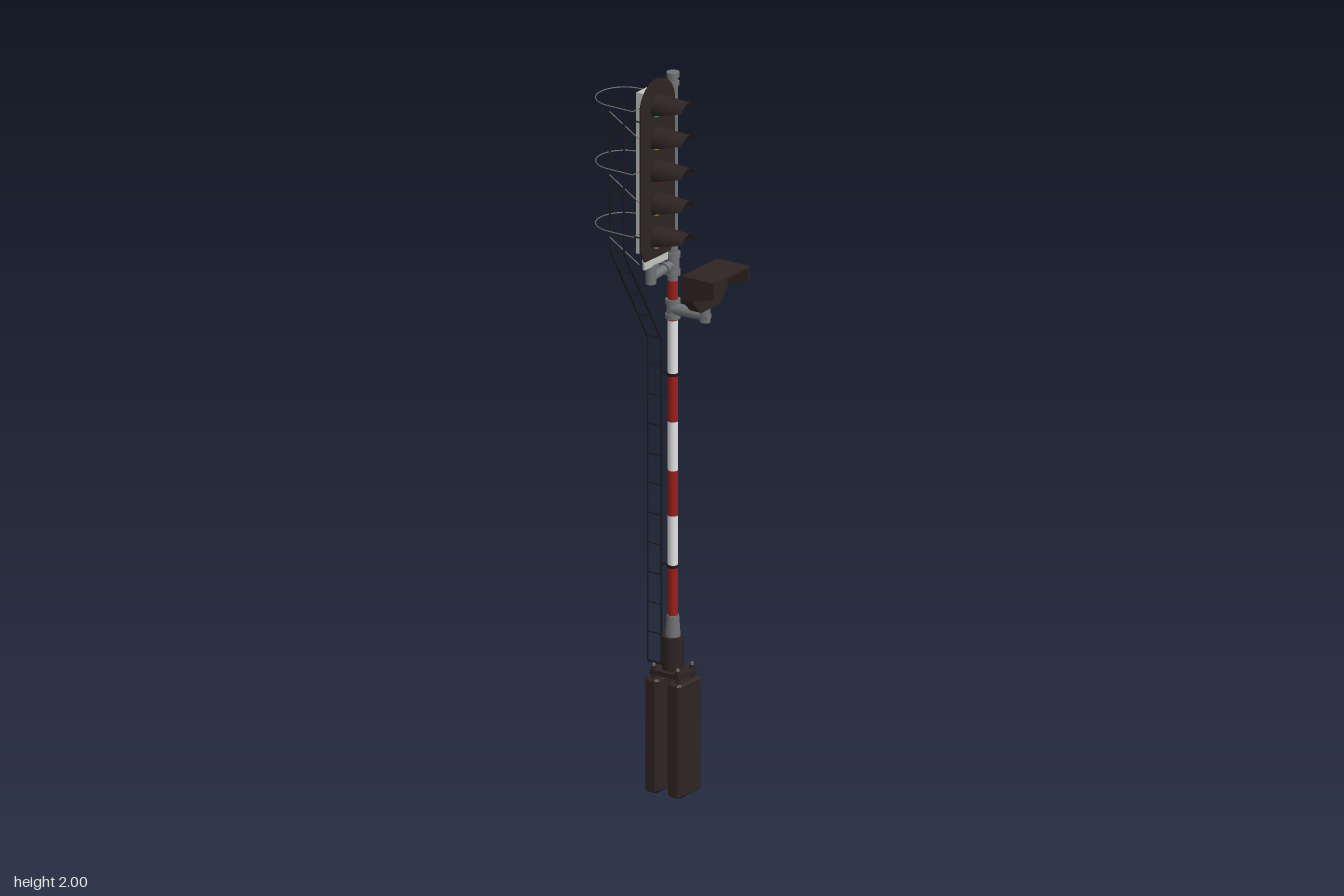
import * as THREE from 'three';
import { ParametricGeometry } from 'three/addons/geometries/ParametricGeometry.js';

const mat = (name, color, side = THREE.FrontSide) => {
  const m = new THREE.MeshStandardMaterial({ color, side });
  m.name = name;
  return m;
};

export function createModel() {
  const root = new THREE.Group();
  root.name = 'railwaySignal';

  const dark = mat('dark brown', 0x2e2423, THREE.DoubleSide);
  const steel = mat('steel grey', 0x707275);
  const pale = mat('pale grey', 0xc4c4c0);
  const red = mat('red', 0x9c1f1a);
  const white = mat('white', 0xe2e2e2);
  const green = mat('green', 0x1fce72);
  const amber = mat('amber', 0xd6a326);
  const black = mat('ladder black', 0x1a1a1a);

  const PX = 0.046, PZ = -0.014; // mast axis
  const HX = -0.053;             // signal head centre
  const V = (x, y, z) => new THREE.Vector3(x, y, z);

  const add = (name, geo, material, x = 0, y = 0, z = 0, parent = root) => {
    const m = new THREE.Mesh(geo, material);
    m.name = name;
    m.position.set(x, y, z);
    parent.add(m);
    return m;
  };
  const box = (name, material, x0, x1, y0, y1, z0, z1) =>
    add(name, new THREE.BoxGeometry(x1 - x0, y1 - y0, z1 - z0), material, (x0 + x1) / 2, (y0 + y1) / 2, (z0 + z1) / 2);
  const post = (name, material, y0, y1, r, x = PX, z = PZ, rTop = r, n = 20) =>
    add(name, new THREE.CylinderGeometry(rTop, r, y1 - y0, n), material, x, (y0 + y1) / 2, z);
  const rod = (name, material, a, b, r, n = 6, rEnd = r) => {
    const d = b.clone().sub(a);
    const m = add(name, new THREE.CylinderGeometry(rEnd, r, d.length(), n), material);
    m.position.copy(a).addScaledVector(d, 0.5);
    m.quaternion.setFromUnitVectors(V(0, 1, 0), d.normalize());
    return m;
  };
  const shapeOf = pts => new THREE.Shape(pts.map(p => new THREE.Vector2(...p)));
  const extrude = (shape, depth) => new THREE.ExtrudeGeometry(shape, { depth, bevelEnabled: false, curveSegments: 20 });

  // Foundation: two chamfered piles, a plate and anchor bolts
  const c = 0.006, w = 0.046, d = 0.017;
  const pileGeo = new THREE.ExtrudeGeometry(
    shapeOf([[-w + c, -d], [w - c, -d], [w, -d + c], [w, d - c], [w - c, d], [-w + c, d], [-w, d - c], [-w, -d + c]]),
    { depth: 0.303, bevelSize: 0.005, bevelThickness: 0.005, bevelSegments: 1 });
  pileGeo.rotateX(-Math.PI / 2);
  for (const s of [-1, 1]) {
    add('foundationPile', pileGeo, dark, PX, 0.005, PZ + s * 0.036);
    for (const t of [-1, 1]) {
      post('anchorBolt', steel, 0.31, 0.352, 0.004, PX + t * 0.032, PZ + s * 0.038, 0.004, 8);
      post('anchorNut', dark, 0.312, 0.324, 0.008, PX + t * 0.032, PZ + s * 0.038, 0.008, 6);
      post('anchorNut', dark, 0.335, 0.345, 0.008, PX + t * 0.032, PZ + s * 0.038, 0.008, 6);
    }
  }
  box('basePlate', dark, PX - 0.04, PX + 0.04, 0.323, 0.336, PZ - 0.046, PZ + 0.046);
  post('baseSleeve', dark, 0.336, 0.427, 0.028);
  post('mastSocket', steel, 0.427, 0.485, 0.02, PX, PZ, 0.016);

  // Mast with painted bands
  const bands = [0.485, 0.62, 0.76, 0.885, 1.02, 1.15, 1.3, 1.41];
  for (let i = 0; i < bands.length - 1; i++)
    post('mastBand', i % 2 ? white : red, bands[i], bands[i + 1], 0.0135);
  post('upperMast', steel, 1.41, 1.975, 0.0135);
  post('mastCap', steel, 1.95, 1.96, 0.017);
  post('mastCap', steel, 1.972, 1.985, 0.017);
  for (const [y0, y1] of [[1.305, 1.318], [1.345, 1.358], [1.425, 1.438], [1.475, 1.488]])
    post('mastCollar', steel, y0, y1, 0.02);
  post('armClamp', steel, 1.318, 1.345, 0.017);
  post('headClamp', steel, 1.438, 1.475, 0.017);

  // Signal head: backboard, lamp housing, lower plate
  const hw = 0.076, topY = 1.924, board = new THREE.Shape();
  board.moveTo(HX - hw + 0.02, 1.51);
  board.lineTo(HX + hw - 0.02, 1.51);
  board.lineTo(HX + hw, 1.54);
  board.lineTo(HX + hw, topY);
  board.absarc(HX, topY, hw, 0, Math.PI, false);
  board.lineTo(HX - hw, 1.54);
  add('backboard', extrude(board, 0.006), dark, 0, 0, 0.003);
  box('lampHousing', pale, HX - 0.036, HX + 0.036, 1.52, 1.965, -0.035, 0.003);
  add('lowerPlate', extrude(shapeOf([[HX - 0.052, 1.485], [HX + 0.052, 1.485], [HX + 0.056, 1.525], [HX - 0.056, 1.525]]), 0.006),
    pale, 0, 0, -0.003);

  // Lamps with cutaway visors
  const visorGeo = new ParametricGeometry((u, v, out) => {
    const r = 0.034 - 0.004 * v;
    const half = THREE.MathUtils.lerp(2.15, 1.3, v);
    const a = (u * 2 - 1) * half;
    out.set(Math.sin(a) * r, Math.cos(a) * r, 0.097 * v);
  }, 24, 4);
  const lensGeo = new THREE.SphereGeometry(0.029, 24, 6, 0, Math.PI * 2, 0, Math.PI / 2);
  lensGeo.rotateX(Math.PI / 2).scale(1, 1, 0.25);
  [green, amber, red, amber, pale].forEach((m, i) => {
    const y = 1.924 - i * 0.0908;
    add('lens', lensGeo, m, HX, y, 0.009);
    add('visor', visorGeo, dark, HX, y, 0.008);
  });

  // Head bracket
  rod('headArm', steel, V(PX, 1.456, PZ), V(HX, 1.446, PZ), 0.012, 16);
  post('headArmKnuckle', steel, 1.43, 1.49, 0.014, HX, PZ);
  post('headArmFlange', steel, 1.476, 1.488, 0.022, HX, PZ);
  rod('headArmFlange', steel, V(0.016, 1.453, PZ), V(0.006, 1.452, PZ), 0.017, 16);

  // Hooded indicator on a forward arm
  const B = 0.047;
  rod('indicatorArm', steel, V(PX, 1.332, PZ), V(PX, 1.332, 0.1), 0.017, 16, 0.012);
  post('indicatorStub', steel, 1.316, 1.358, 0.014, PX, 0.088);
  add('indicatorBody', extrude(shapeOf([[B - 0.042, 1.356], [B + 0.042, 1.356], [B + 0.08, 1.395],
    [B + 0.08, 1.462], [B - 0.08, 1.462], [B - 0.08, 1.395]]), 0.036), dark, 0, 0, 0.069);
  box('indicatorRoof', dark, B - 0.08, B + 0.08, 1.456, 1.463, 0.1, 0.17);
  const cheekGeo = extrude(shapeOf([[-0.1, 1.395], [-0.1, 1.463], [-0.17, 1.463], [-0.17, 1.418], [-0.11, 1.4]]), 0.004);
  cheekGeo.rotateY(Math.PI / 2);
  add('indicatorCheek', cheekGeo, dark, B - 0.08, 0, 0);
  add('indicatorCheek', cheekGeo, dark, B + 0.076, 0, 0);
  for (let i = -1; i <= 1; i++)
    box('indicatorPane', pale, B + i * 0.043 - 0.0195, B + i * 0.043 + 0.0195, 1.43, 1.45, 0.104, 0.108);

  // Ladder: two bent rails with evenly spaced rungs
  const LX = 0.046, TX = -0.123, zNear = -0.05, zFar = -0.094;
  const bends = [V(LX, 0.34, 0), V(LX, 1.235, 0), V(TX, 1.525, 0), V(TX, 1.94, 0)];
  const track = new THREE.CurvePath();
  for (let i = 0; i < 3; i++) {
    track.add(new THREE.LineCurve3(bends[i], bends[i + 1]));
    for (const z of [zNear, zFar])
      rod('ladderRail', black, bends[i].clone().setZ(z), bends[i + 1].clone().setZ(z), 0.0027);
  }
  const rungs = 20;
  for (let i = 0; i <= rungs; i++) {
    const p = track.getPointAt(i / rungs);
    rod('ladderRung', black, p.clone().setZ(zNear), p.clone().setZ(zFar), 0.0018);
  }
  for (const y of [0.62, 1.15]) {
    rod('ladderTie', black, V(PX, y, PZ), V(LX, y, zNear), 0.003);
    post('ladderTieBand', black, y - 0.004, y + 0.004, 0.015);
  }
  rod('ladderFoot', black, V(PX, 0.342, PZ), V(LX, 0.342, zFar), 0.003);
  for (const y of [1.58, 1.9])
    rod('ladderTopTie', black, V(TX, y, zNear), V(TX, y, 0.003), 0.002);

  // Safety hoops behind the head, with braces
  for (const y of [1.58, 1.752, 1.927]) {
    const hoop = new THREE.CurvePath(), r = 0.0755;
    const pts = [V(HX - r, y, -0.018), V(HX - r, y, -0.097)];
    for (let k = 1; k <= 24; k++) {
      const a = Math.PI * (1 - k / 24);
      pts.push(V(HX + Math.cos(a) * r, y, -0.097 - Math.sin(a) * r));
    }
    pts.push(V(HX + r, y, -0.018));
    for (let k = 0; k < pts.length - 1; k++) hoop.add(new THREE.LineCurve3(pts[k], pts[k + 1]));
    add('safetyHoop', new THREE.TubeGeometry(hoop, 80, 0.0016, 5), steel);
    for (const s of [-1, 1]) {
      rod('hoopMount', steel, V(HX + s * r, y, -0.018), V(HX + s * 0.034, y, -0.018), 0.0016);
      rod('hoopBrace', steel, V(HX + s * 0.036, y - 0.09, -0.025), V(HX + s * r, y - 0.015, -0.092), 0.0016);
    }
  }
  return root;
}
